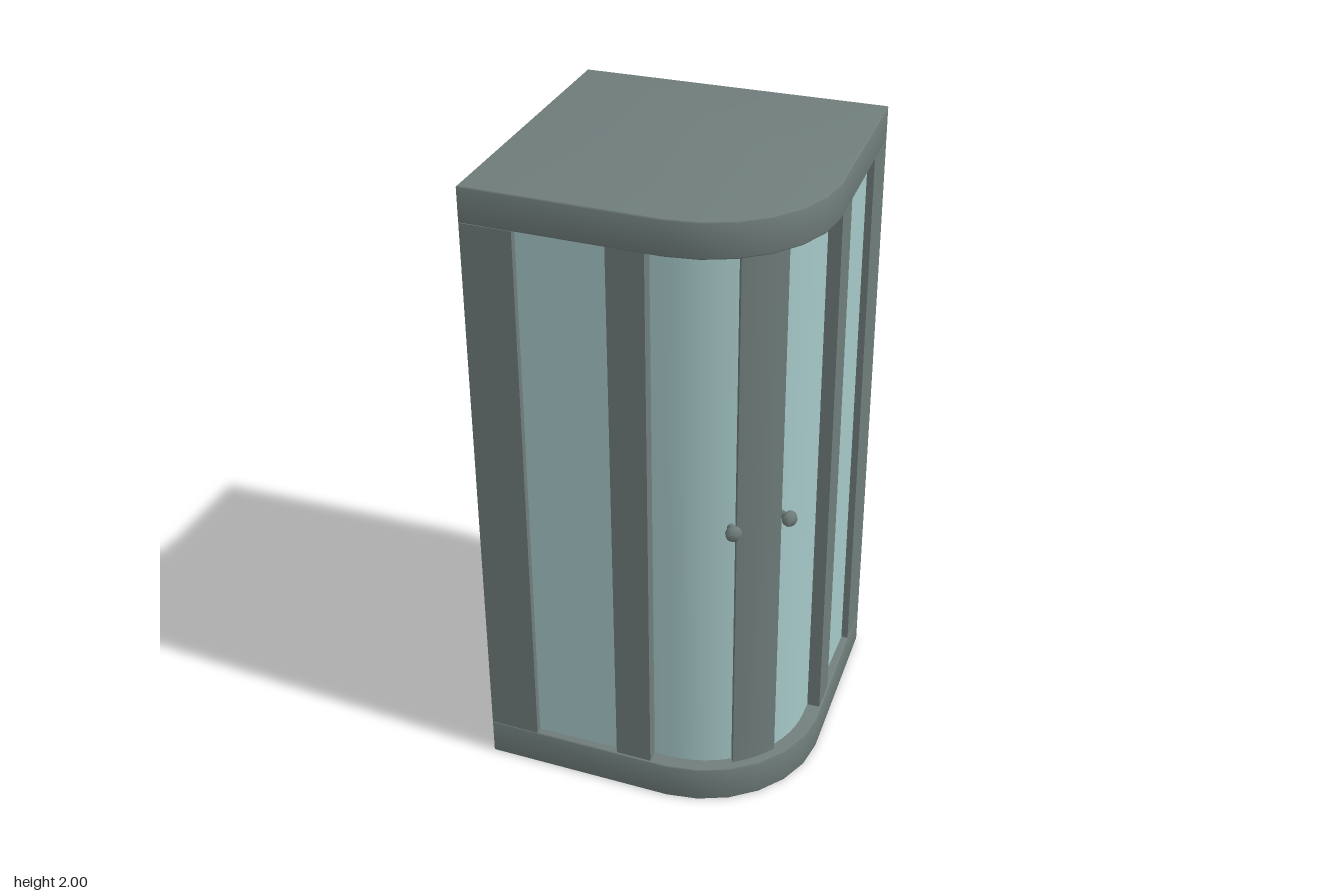
import * as THREE from 'three';
import { toCreasedNormals } from 'three/addons/utils/BufferGeometryUtils.js';

const FRAME = new THREE.MeshStandardMaterial({ color: 0x6f7d7b });
const GLASS = new THREE.MeshStandardMaterial({ color: 0xa6c8c8 });

const TRAY_TOP = 0.12, ROOF_BOTTOM = 1.89;
const CENTRE = 0.11; // plan centre of the rounded corner (x and z)

// Points on the rounded corner, angle in degrees from +z towards +x
function arc(radius, from, to, steps) {
  const points = [];
  for (let i = 0; i <= steps; i++) {
    const a = THREE.MathUtils.degToRad(from + ((to - from) * i) / steps);
    points.push([CENTRE + radius * Math.sin(a), CENTRE + radius * Math.cos(a)]);
  }
  return points;
}

// Curved strip between two radii
const band = (outer, inner, from, to, steps) =>
  [...arc(outer, from, to, steps), ...arc(inner, to, from, steps)];

// Upright prism from a plan outline of [x, z] points
function prism(name, plan, y0, y1, material, bevel = 0) {
  const shape = new THREE.Shape(plan.map(([x, z]) => new THREE.Vector2(x, -z)));
  const geometry = new THREE.ExtrudeGeometry(shape, {
    depth: y1 - y0 - 2 * bevel,
    bevelEnabled: bevel > 0,
    bevelSize: bevel, bevelThickness: bevel, bevelOffset: -bevel, bevelSegments: 3,
  });
  geometry.rotateX(-Math.PI / 2);
  geometry.translate(0, y0 + bevel, 0);
  const mesh = new THREE.Mesh(toCreasedNormals(geometry, 0.6), material);
  mesh.name = name;
  return mesh;
}

// Round door knob pointing out from the curved door
function knob(angle) {
  const profile = [[0.012, 0], [0.012, 0.022], [0.024, 0.032], [0.025, 0.043], [0.018, 0.054], [0, 0.056]]
    .map(([r, y]) => new THREE.Vector2(r, y));
  const mesh = new THREE.Mesh(new THREE.LatheGeometry(profile, 16), FRAME);
  const a = THREE.MathUtils.degToRad(angle);
  const out = new THREE.Vector3(Math.sin(a), 0, Math.cos(a));
  mesh.quaternion.setFromUnitVectors(new THREE.Vector3(0, 1, 0), out);
  mesh.position.set(CENTRE, 1.005, CENTRE).addScaledVector(out, 0.335);
  mesh.name = 'doorKnob';
  return mesh;
}

export function createModel() {
  const cabin = new THREE.Group();
  cabin.name = 'cornerShowerCabin';

  // Tray and roof share the quadrant outline
  const outline = [[-0.495, -0.495], [-0.495, 0.475], ...arc(0.385, 0, 90, 6), [0.475, -0.495]];
  cabin.add(prism('tray', outline, 0, TRAY_TOP, FRAME, 0.004));
  cabin.add(prism('roof', outline, ROOF_BOTTOM, 2, FRAME, 0.004));

  // Each half is built once and mirrored across the plan diagonal
  for (const mirrored of [false, true]) {
    const half = new THREE.Group();
    half.name = mirrored ? 'sideHalf' : 'frontHalf';
    const add = (name, plan, material) => {
      const points = mirrored ? plan.map(([x, z]) => [z, x]) : plan;
      half.add(prism(name, points, TRAY_TOP, ROOF_BOTTOM, material));
    };

    // Solid wall with its corner post
    add('wall', [[-0.495, -0.495], [-0.455, -0.495], [-0.455, 0.475], [-0.495, 0.475]], FRAME);
    add('cornerPost', [[-0.495, 0.475], [-0.335, 0.48], [-0.335, 0.435], [-0.495, 0.435]], FRAME);

    // Fixed pane and the post between it and the door
    add('fixedPane', [[-0.345, 0.458], [-0.05, 0.462], [-0.05, 0.45], [-0.345, 0.446]], GLASS);
    add('middlePost', [[-0.06, 0.484], [0.055, 0.488], [0.055, 0.43], [-0.06, 0.43]], FRAME);

    // Curved sliding door
    add('curvedDoor', [[0.04, 0.447], ...band(0.337, 0.325, 0, 35, 6), [0.04, 0.435]], GLASS);

    half.add(knob(mirrored ? 59.3 : 30.7));
    cabin.add(half);
  }

  // Post where the two doors meet
  cabin.add(prism('doorPost', band(0.355, 0.315, 33, 57, 4), TRAY_TOP, ROOF_BOTTOM, FRAME));

  return cabin;
}
